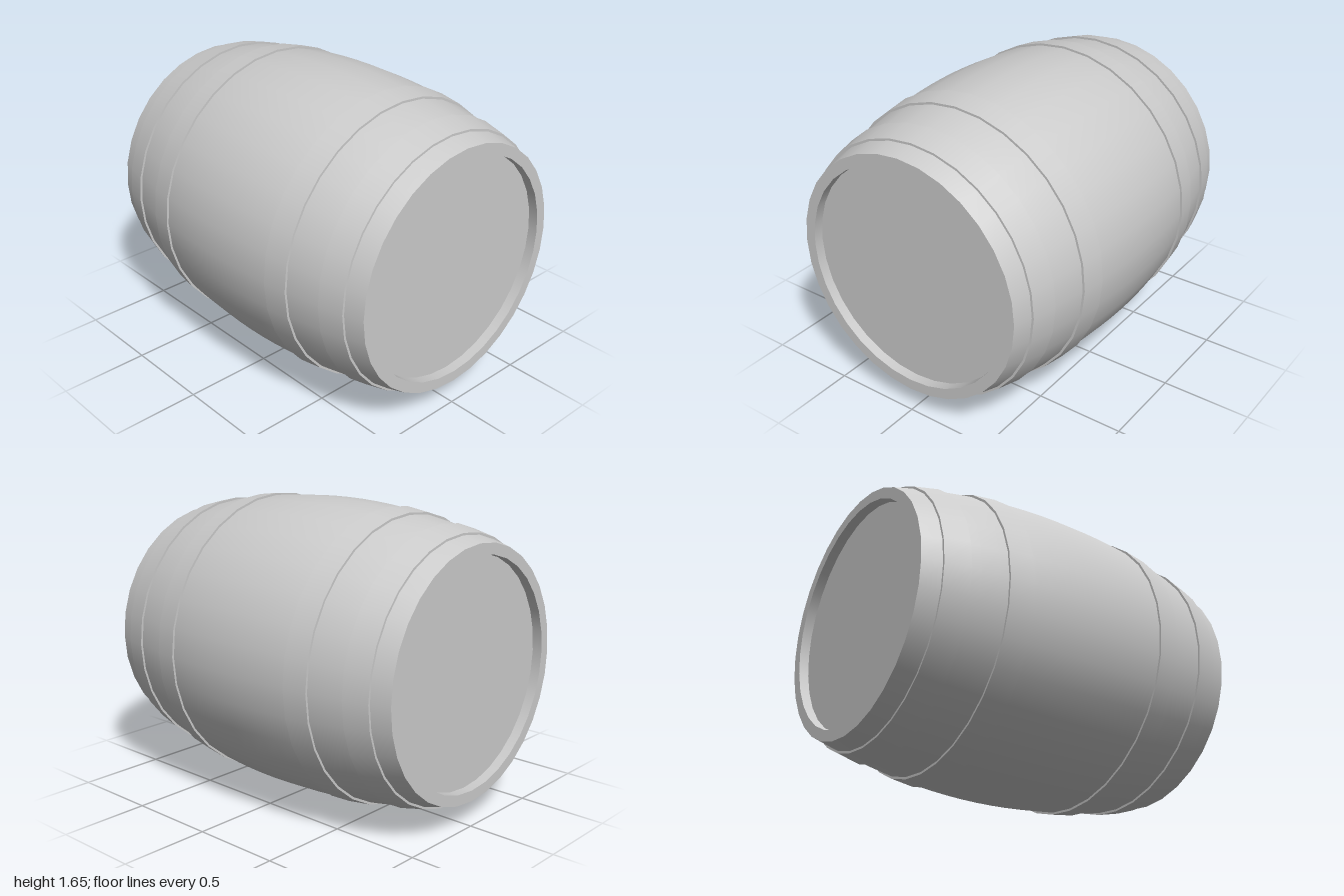
import * as THREE from 'three';
import { mergeGeometries } from 'three/addons/utils/BufferGeometryUtils.js';

const SIDES = 32;
const CENTER_Y = 0.827;
const MID_RADIUS = 0.827;
const BULGE = 0.141;
const INNER = 0.625;
const RECESS = 0.055;

const bodyRadius = (z) => MID_RADIUS - BULGE * z * z;

// Revolve profile runs of [radius, z] about the z axis; each run is smooth, with hard edges between runs
function revolve(runs) {
  const pieces = runs.map((run) =>
    new THREE.LatheGeometry(run.map(([r, z]) => new THREE.Vector2(r, z)), SIDES));
  return mergeGeometries(pieces).rotateX(Math.PI / 2);
}

export function createModel() {
  const model = new THREE.Group();
  model.name = 'barrel';
  const material = new THREE.MeshStandardMaterial({ color: 0xcccccc });

  const add = (name, geometry) => {
    const mesh = new THREE.Mesh(geometry, material);
    mesh.name = name;
    mesh.position.y = CENTER_Y;
    model.add(mesh);
  };

  // Bulging staves with flat end rims and the short inner walls of the recesses
  const outer = [];
  for (let i = -10; i <= 10; i++) outer.push([bodyRadius(i / 10), i / 10]);
  const end = bodyRadius(1);
  add('staves', revolve([
    [[INNER, -1 + RECESS], [INNER, -1]],
    [[INNER, -1], [end, -1]],
    outer,
    [[end, 1], [INNER, 1]],
    [[INNER, 1], [INNER, 1 - RECESS]],
  ]));

  // Recessed round heads
  add('frontHead', revolve([[[INNER, 1 - RECESS], [0, 1 - RECESS]]]));
  add('backHead', revolve([[[0, -1 + RECESS], [INNER, -1 + RECESS]]]));

  // Raised tapered hoops, two at each end
  const thickness = 0.012;
  const addHoop = (name, z0, z1) => {
    const b0 = bodyRadius(z0) - 0.01, b1 = bodyRadius(z1) - 0.01;
    const h0 = bodyRadius(z0) + thickness, h1 = bodyRadius(z1) + thickness;
    add(name, revolve([
      [[b0, z0], [h0, z0]],
      [[h0, z0], [h1, z1]],
      [[h1, z1], [b1, z1]],
    ]));
  };
  for (const [label, a, b] of [['EndHoop', 0.757, 0.895], ['QuarterHoop', 0.418, 0.555]]) {
    addHoop('front' + label, a, b);
    addHoop('back' + label, -b, -a);
  }

  return model;
}
